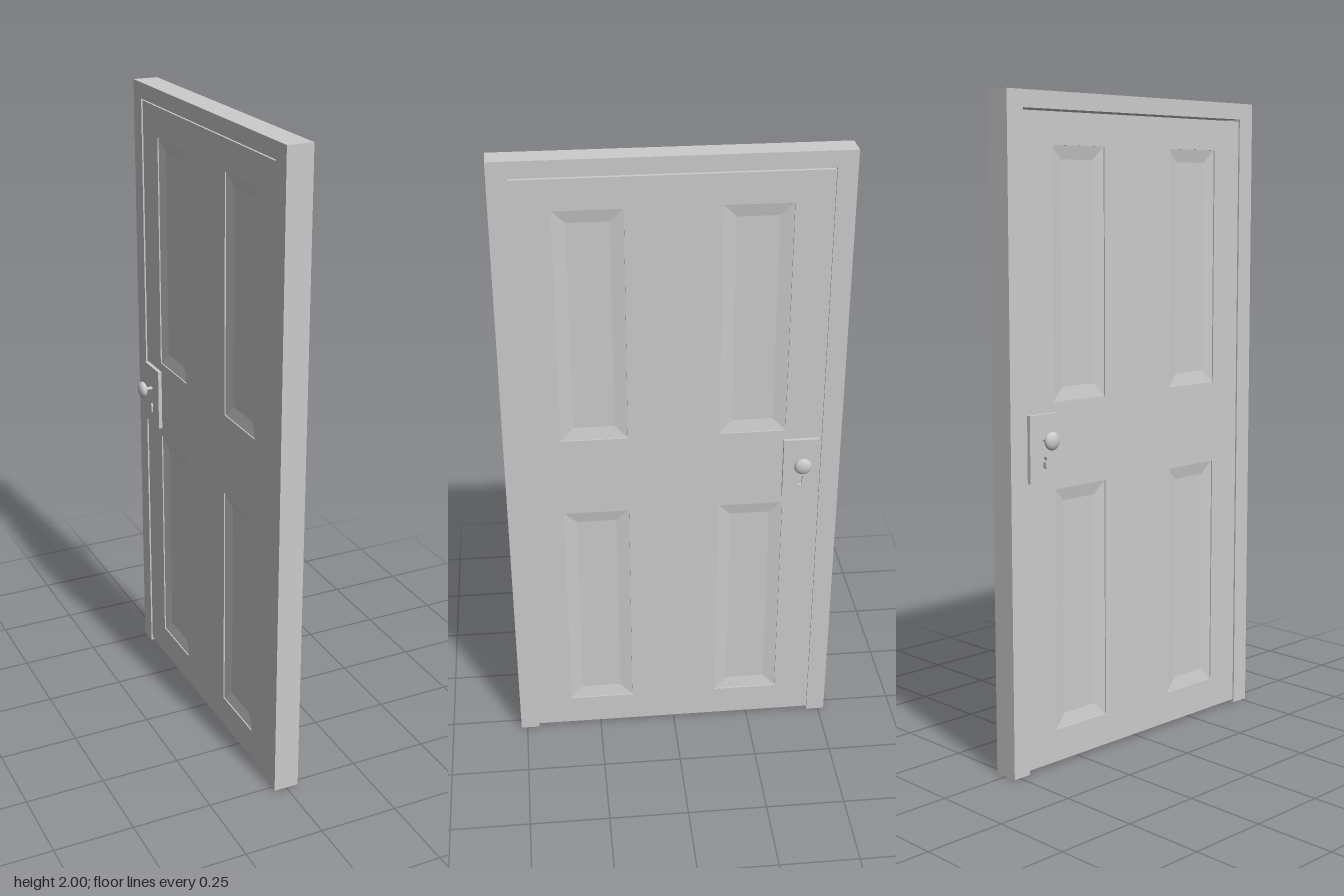
import * as THREE from 'three';

const material = new THREE.MeshStandardMaterial({ color: 0xcccccc });

function part(name, geometry, parent) {
  const mesh = new THREE.Mesh(geometry, material);
  mesh.name = name;
  parent.add(mesh);
  return mesh;
}

const corners = (u, v, w, h) => [[u - w / 2, v - h / 2], [u + w / 2, v - h / 2], [u + w / 2, v + h / 2], [u - w / 2, v + h / 2]];
const outline = (points, Type = THREE.Shape) => new Type(points.map(([x, y]) => new THREE.Vector2(x, y)));

// Extrusion running from back to front along z
function slab(shape, back, front) {
  return new THREE.ExtrudeGeometry(shape, { depth: front - back, bevelEnabled: false, curveSegments: 12 }).translate(0, 0, back);
}

// Sunken panel: four sloping sides around a flat field
function sunkenPanel(u, v, w, h, inset, rim, floor) {
  const outer = corners(u, v, w, h).map(([x, y]) => [x, y, rim]);
  const inner = corners(u, v, w - 2 * inset, h - 2 * inset).map(([x, y]) => [x, y, floor]);
  const positions = [];
  const quad = (a, b, c, d) => positions.push(...a, ...b, ...c, ...a, ...c, ...d);
  for (let i = 0; i < 4; i++) {
    const j = (i + 1) % 4;
    quad(outer[i], outer[j], inner[j], inner[i]);
  }
  quad(...inner);
  const geometry = new THREE.BufferGeometry();
  geometry.setAttribute('position', new THREE.Float32BufferAttribute(positions, 3));
  geometry.computeVertexNormals();
  return geometry;
}

export function createModel() {
  const door = new THREE.Group();
  door.name = 'door';

  // Surround, open at the foot
  const surround = outline([[-0.52, 0], [-0.46, 0], [-0.46, 1.95], [0.46, 1.95], [0.46, 0], [0.52, 0], [0.52, 2], [-0.52, 2]]);
  part('doorFrame', slab(surround, -0.04, 0.04).rotateY(Math.PI / 2), door);

  // Leaf with four panel openings
  const panels = [];
  for (const u of [-0.243, 0.243]) for (const v of [0.48, 1.48]) panels.push([u, v, 0.205, 0.74]);
  const leaf = outline(corners(0, 0.977, 0.92, 1.934));
  for (const p of panels) leaf.holes.push(outline(corners(...p), THREE.Path));
  part('doorLeaf', slab(leaf, -0.035, 0.035).rotateY(Math.PI / 2), door);

  // Panels and handle set on both faces
  for (const sign of [1, -1]) {
    const side = new THREE.Group();
    side.name = sign > 0 ? 'leftFace' : 'rightFace';
    side.rotation.y = sign * Math.PI / 2;
    door.add(side);

    for (const p of panels) part('panel', sunkenPanel(...p, 0.04, 0.031, 0.024), side);

    // Lock plate with keyhole
    const u = sign * 0.397;
    const plate = outline(corners(u, 0.98, 0.112, 0.2));
    const keyhole = new THREE.Path();
    keyhole.absarc(u, 0.945, 0.009, -Math.PI / 3, Math.PI * 4 / 3, false);
    keyhole.lineTo(u - 0.006, 0.918);
    keyhole.lineTo(u + 0.006, 0.918);
    keyhole.closePath();
    plate.holes.push(keyhole);
    part('lockPlate', slab(plate, 0.03, 0.047), side);

    // Knob on its stem
    const stem = new THREE.CylinderGeometry(0.006, 0.006, 0.045, 20).rotateX(Math.PI / 2);
    part('knobStem', stem, side).position.set(u, 1.005, 0.055);
    const knob = new THREE.SphereGeometry(0.027, 32, 20).scale(1, 1, 0.52);
    part('knob', knob, side).position.set(u, 1.005, 0.08);
  }
  return door;
}
